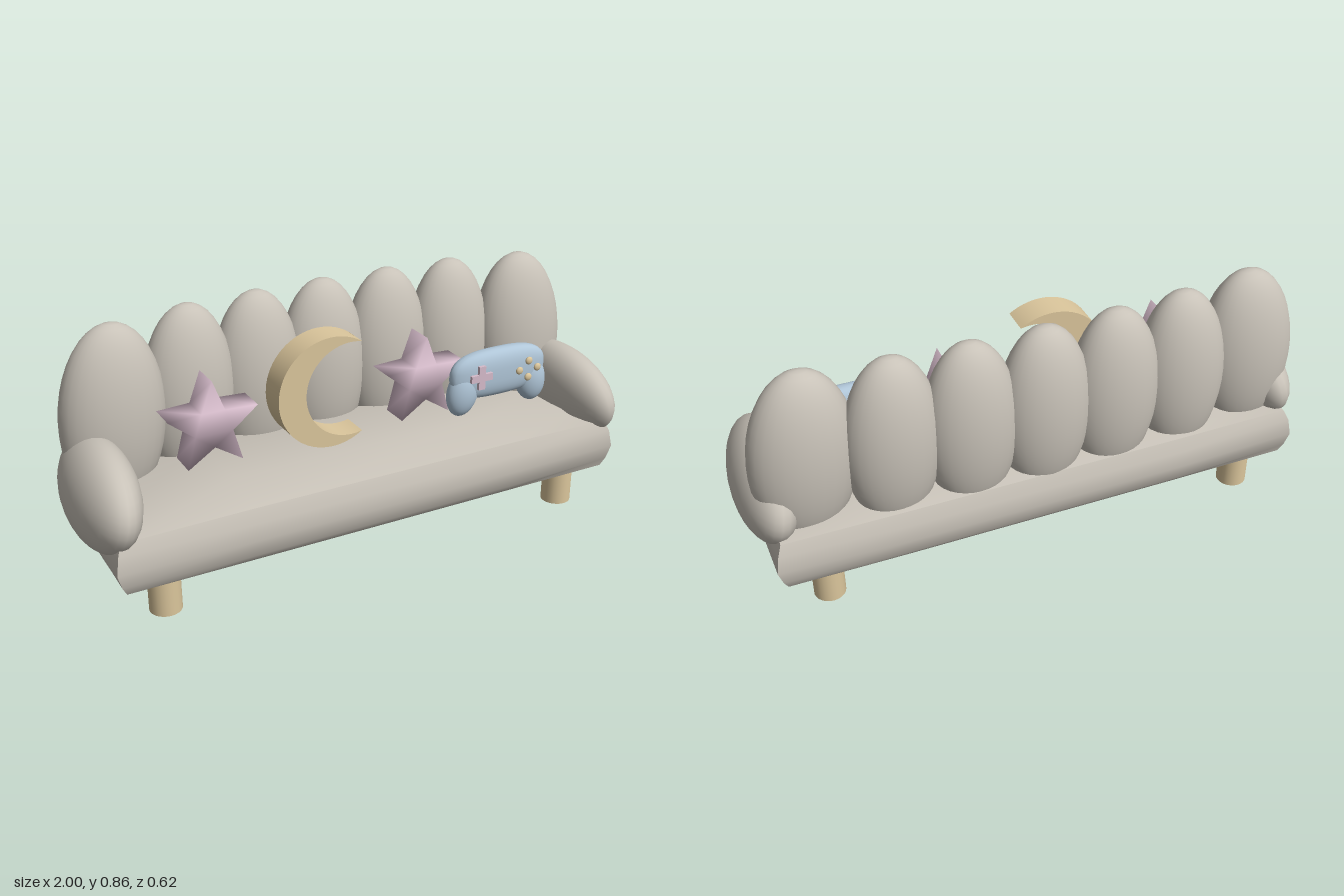
import * as THREE from 'three';
import { mergeVertices, toCreasedNormals } from 'three/addons/utils/BufferGeometryUtils.js';

const mat = (name, color) => Object.assign(new THREE.MeshStandardMaterial({ color }), { name });

// Padded seat: mirrored cross-sections lofted along x, closed by slightly domed ends
function seatGeometry() {
  const middle = [[0.14, 0.09], [0.27, 0.135], [0.295, 0.165], [0.31, 0.225], [0.3, 0.28], [0.28, 0.325], [0.14, 0.37]];
  const end = [[0.14, 0.127], [0.262, 0.13], [0.272, 0.16], [0.28, 0.21], [0.272, 0.27], [0.255, 0.305], [0.14, 0.315]];
  const endX = [0.9, 0.9, 0.915, 0.93, 0.92, 0.905, 0.9];
  const closed = (half) => [...half, ...half.map(([z, y]) => [-z, y]).reverse()];
  const ring = (half, xs, side) => closed(half).map(([z, y], i) =>
    [side * xs[Math.min(i, 13 - i)], y, z]);
  const midX = Array(7).fill(0.49);
  const rings = [ring(end, endX, -1), ring(middle, midX, -1), ring(middle, midX, 1), ring(end, endX, 1)];
  const pos = [];
  for (let j = 0; j < 14; j++) {
    const k = (j + 1) % 14;
    for (let i = 0; i < 3; i++) {
      const a = rings[i][j], b = rings[i + 1][j], c = rings[i + 1][k], d = rings[i][k];
      pos.push(...a, ...b, ...c, ...a, ...c, ...d);
    }
    pos.push(-0.935, 0.22, 0, ...rings[0][j], ...rings[0][k]);
    pos.push(0.935, 0.22, 0, ...rings[3][k], ...rings[3][j]);
  }
  const g = new THREE.BufferGeometry();
  g.setAttribute('position', new THREE.Float32BufferAttribute(pos, 3));
  return toCreasedNormals(g, 0.6);
}

// Five-pointed star pillow with soft shading
function starGeometry() {
  const pts = [];
  for (let i = 0; i < 10; i++) {
    const a = Math.PI / 2 + i * Math.PI / 5, r = i % 2 ? 0.068 : 0.16;
    pts.push(new THREE.Vector2(Math.cos(a) * r, Math.sin(a) * r));
  }
  let g = new THREE.ExtrudeGeometry(new THREE.Shape(pts), { depth: 0.104, bevelEnabled: false });
  g.deleteAttribute('normal');
  g.deleteAttribute('uv');
  g = mergeVertices(g, 1e-4);
  g.computeVertexNormals();
  return g;
}

// Crescent between an outer circle and a smaller offset inner circle
function moonGeometry() {
  const s = new THREE.Shape();
  const outer = Math.atan2(0.16, 0.11), inner = Math.atan2(0.16, 0.04);
  s.absarc(-0.11, 0, 0.194, outer, 2 * Math.PI - outer, false);
  s.absarc(-0.04, 0, 0.165, 2 * Math.PI - inner, inner, true);
  const g = new THREE.ExtrudeGeometry(s, { depth: 0.1, bevelEnabled: false, curveSegments: 24 });
  return toCreasedNormals(g, 0.6);
}

// Plus-shaped pad
function crossGeometry() {
  const a = 0.043, b = 0.013;
  const pts = [[b, a], [-b, a], [-b, b], [-a, b], [-a, -b], [-b, -b], [-b, -a], [b, -a], [b, -b], [a, -b], [a, b], [b, b]];
  return new THREE.ExtrudeGeometry(new THREE.Shape(pts.map((p) => new THREE.Vector2(...p))), { depth: 0.012, bevelEnabled: false });
}

// Rounded, slightly boxy game-pad body
function padBodyGeometry() {
  const g = new THREE.SphereGeometry(1, 32, 20), p = g.attributes.position;
  const puff = (v, e) => Math.sign(v) * Math.pow(Math.abs(v), e);
  for (let i = 0; i < p.count; i++) {
    p.setXYZ(i, puff(p.getX(i), 0.7) * 0.195, puff(p.getY(i), 0.75) * 0.088, puff(p.getZ(i), 0.8) * 0.043);
  }
  g.computeVertexNormals();
  return g;
}

export function createModel() {
  const fabric = mat('greyFabric', 0xc8c2b8);
  const wood = mat('warmTan', 0xdbc69c);
  const pink = mat('palePink', 0xd6bccb);
  const blue = mat('paleBlue', 0xb0c6d8);
  const model = new THREE.Group();
  model.name = 'sofa';

  const add = (parent, name, geometry, material, x, y, z) => {
    const m = new THREE.Mesh(geometry, material);
    m.name = name;
    m.position.set(x, y, z);
    parent.add(m);
    return m;
  };
  const ball = new THREE.SphereGeometry(1, 28, 20);
  const ellipsoid = (parent, name, material, [x, y, z], scale, tilt = 0) => {
    const m = add(parent, name, ball, material, x, y, z);
    m.scale.set(...scale);
    m.rotation.z = tilt;
    return m;
  };

  add(model, 'seat', seatGeometry(), fabric, 0, 0, 0);

  // Row of back cushions, curving forward at both ends
  ellipsoid(model, 'backCushion', fabric, [0, 0.535, -0.2], [0.16, 0.32, 0.11]);
  for (const s of [-1, 1]) {
    ellipsoid(model, 'backCushion', fabric, [s * 0.25, 0.535, -0.195], [0.16, 0.32, 0.11]);
    ellipsoid(model, 'backCushion', fabric, [s * 0.505, 0.535, -0.18], [0.16, 0.32, 0.112], s * 0.03);
    ellipsoid(model, 'backCushion', fabric, [s * 0.78, 0.53, -0.138], [0.175, 0.32, 0.114], s * 0.06);

    // Armrest leaning inward at the top
    ellipsoid(model, 'armrest', fabric, [s * 0.89, 0.362, 0.02], [0.105, 0.164, 0.28], s * 0.2);

    // Legs
    for (const z of [-0.195, 0.195]) {
      add(model, 'leg', new THREE.CylinderGeometry(0.053, 0.053, 0.14, 24), wood, s * 0.76, 0.07, z);
    }
  }

  // Pillows
  const star = starGeometry();
  for (const x of [-0.515, 0.268]) add(model, 'starPillow', star, pink, x, 0.516, -0.042);
  add(model, 'moonPillow', moonGeometry(), wood, 0, 0.565, -0.007);

  // Game-pad pillow
  const pad = new THREE.Group();
  pad.name = 'gamePadPillow';
  pad.position.set(0.548, 0.51, 0.082);
  model.add(pad);
  add(pad, 'padBody', padBodyGeometry(), blue, 0, 0, 0);
  for (const s of [-1, 1]) {
    ellipsoid(pad, 'padHandle', blue, [s * 0.143, -0.055, 0], [0.06, 0.088, 0.042], s * 0.2);
  }
  add(pad, 'directionCross', crossGeometry(), pink, -0.098, 0.008, 0.042);
  for (let i = 0; i < 4; i++) {
    const a = i * Math.PI / 2;
    ellipsoid(pad, 'padButton', wood, [0.1 + Math.cos(a) * 0.038, 0.003 + Math.sin(a) * 0.031, 0.048], [0.014, 0.014, 0.008]);
  }
  return model;
}
